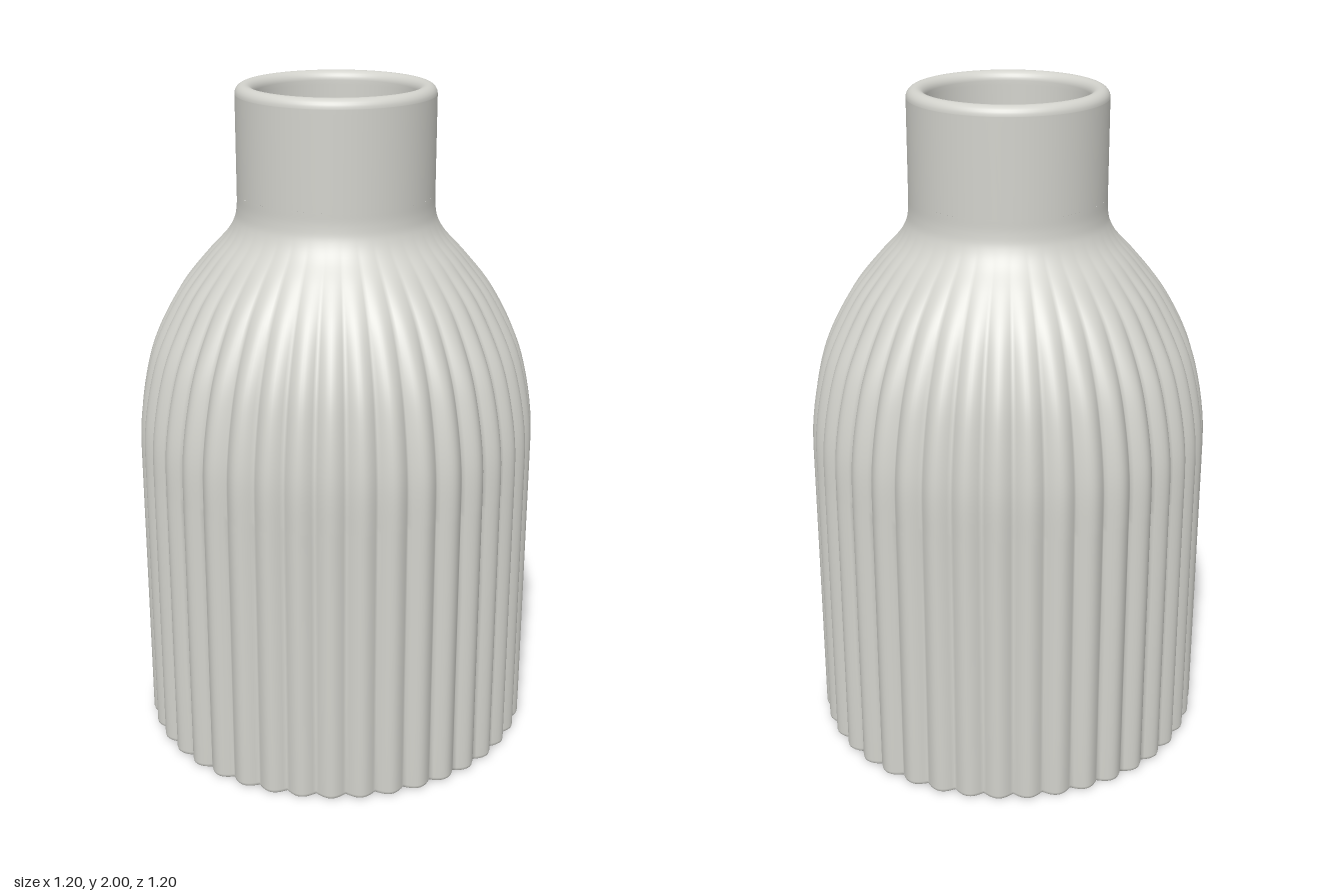
import * as THREE from 'three';
import { mergeVertices } from 'three/addons/utils/BufferGeometryUtils.js';

const FLUTES = 41;
const DEPTH = 0.024;
const SEGMENTS = FLUTES * 10;
const v = (x, y) => new THREE.Vector2(x, y);

// Arc of profile points, angles in degrees
function arc(cx, cy, r, from, to, n = 8) {
  return Array.from({ length: n + 1 }, (_, i) => {
    const a = THREE.MathUtils.degToRad(from + (to - from) * i / n);
    return v(cx + r * Math.cos(a), cy + r * Math.sin(a));
  });
}

// Lathe whose radius is scalloped by rounded flutes; weight(r, y) fades them
function flutedLathe(points, weight) {
  const geo = new THREE.LatheGeometry(points, SEGMENTS);
  const pos = geo.attributes.position;
  for (let i = 0; i < pos.count; i++) {
    const x = pos.getX(i), y = pos.getY(i), z = pos.getZ(i);
    const r = Math.hypot(x, z);
    if (r < 1e-6) continue;
    const lobe = 1 - Math.abs(Math.cos(Math.atan2(x, z) * FLUTES / 2));
    const k = (r - DEPTH * lobe * weight(r, y)) / r;
    pos.setXYZ(i, x * k, y, z * k);
  }
  geo.deleteAttribute('uv');
  geo.deleteAttribute('normal');
  const merged = mergeVertices(geo, 1e-5);
  merged.computeVertexNormals();
  return merged;
}

export function createModel() {
  const vase = new THREE.Group();
  vase.name = 'vase';
  const ceramic = new THREE.MeshStandardMaterial({ color: 0xd2d2cc });
  ceramic.name = 'pale grey ceramic';
  const add = (name, geo) => {
    const mesh = new THREE.Mesh(geo, ceramic);
    mesh.name = name;
    vase.add(mesh);
  };

  // Fluted body: straight wall, rounded shoulder, flutes fading into the neck
  const shoulder = new THREE.SplineCurve([
    v(0.6, 0.85), v(0.597, 1.0), v(0.573, 1.15), v(0.535, 1.27), v(0.465, 1.4),
    v(0.385, 1.5), v(0.325, 1.565), v(0.299, 1.61), v(0.291, 1.65), v(0.29, 1.69),
  ]).getPoints(44);
  add('flutedBody', flutedLathe(
    [v(0.594, 0), v(0.598, 0.004), v(0.6, 0.012), v(0.6, 0.3), v(0.6, 0.6), ...shoulder],
    (r, y) => 1 - THREE.MathUtils.smoothstep(y, 1.15, 1.63)
  ));

  // Underside: recessed base with a curved wall and a scalloped foot ring
  add('base', flutedLathe(
    [v(0, 0.05), v(0.25, 0.05), v(0.46, 0.05), v(0.485, 0.048), v(0.505, 0.04),
      v(0.522, 0.027), v(0.533, 0.013), v(0.54, 0)],
    () => 0
  ));
  add('footRing', flutedLathe([v(0.54, 0), v(0.594, 0)], (r) => (r > 0.57 ? 1 : 0)));

  // Neck with a rounded rim
  add('neck', new THREE.LatheGeometry([
    v(0.29, 1.69), v(0.29, 1.96), v(0.29, 1.972),
    ...arc(0.263, 1.973, 0.027, 0, 180, 14),
    v(0.236, 1.96), v(0.236, 1.66),
  ], 96));

  // Hollow inside, following the outer wall down to a flat floor
  add('inside', new THREE.LatheGeometry([
    v(0.236, 1.66), v(0.237, 1.63), v(0.25, 1.575), v(0.285, 1.525), v(0.34, 1.46),
    v(0.41, 1.37), v(0.475, 1.25), v(0.515, 1.13), v(0.535, 1.0), v(0.54, 0.9),
    v(0.54, 0.88), v(0.54, 0.18),
    ...arc(0.48, 0.16, 0.06, 0, -90),
    v(0.46, 0.1), v(0, 0.1),
  ], 96));

  return vase;
}
